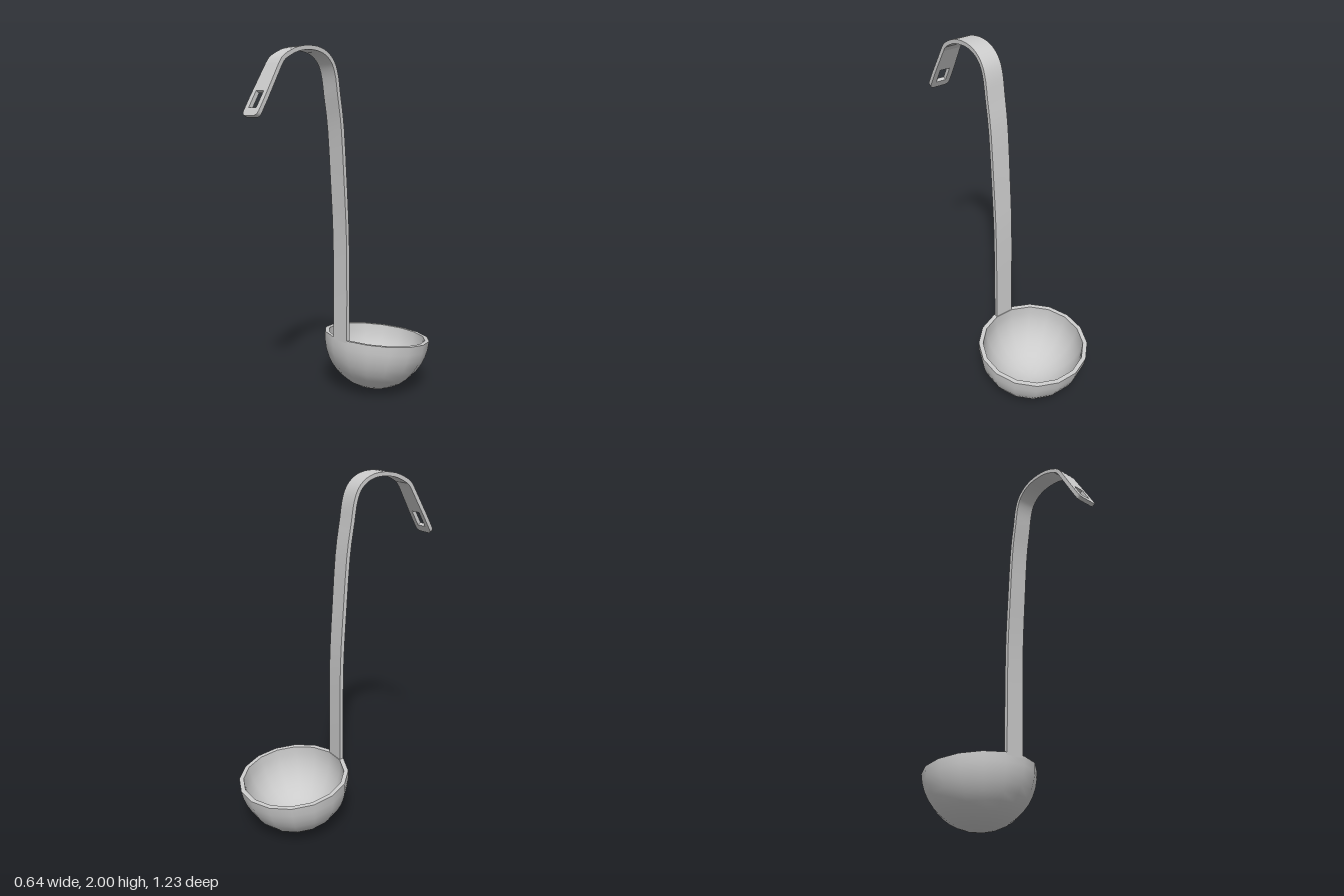
import * as THREE from 'three';
import { toCreasedNormals } from 'three/addons/utils/BufferGeometryUtils.js';

const material = new THREE.MeshStandardMaterial({ color: 0xcccccc });
const THICK = 0.022, HALF_WIDTH = 0.055, CREASE = 0.6;

function part(name, geometry) {
  const mesh = new THREE.Mesh(toCreasedNormals(geometry, CREASE), material);
  mesh.name = name;
  return mesh;
}

// Sixteen-sided hollow hemisphere with a flat rim, tipped slightly backwards
function createBowl() {
  const steps = 10, profile = [];
  const arc = (radius, depth, t) =>
    new THREE.Vector2(radius * Math.sin(t * Math.PI / 2), -depth * Math.cos(t * Math.PI / 2));
  for (let i = 0; i <= steps; i++) profile.push(arc(0.325, 0.328, i / steps));
  for (let i = steps; i >= 0; i--) profile.push(arc(0.299, 0.302, i / steps));
  const bowl = part('bowl', new THREE.LatheGeometry(profile, 16, Math.PI / 16));
  bowl.scale.z = 0.965;
  bowl.rotation.x = -0.122;
  bowl.position.set(0, 0.328, -0.307);
  return bowl;
}

// Bent strip: its side outline is the centreline (z, y) offset both ways
function createHandle() {
  const path = new THREE.CatmullRomCurve3([
    [-0.012, 0.35], [-0.012, 0.7], [-0.007, 1.0], [0.009, 1.27], [0.034, 1.6],
    [0.058, 1.75], [0.076, 1.86], [0.1, 1.92], [0.14, 1.96], [0.19, 1.982],
    [0.255, 1.989], [0.34, 1.977], [0.41, 1.945], [0.435, 1.927], [0.455, 1.9],
  ].map(([z, y]) => new THREE.Vector3(z, y, 0)));
  const outer = [], inner = [], count = 36;
  for (let i = 0; i <= count; i++) {
    const p = path.getPoint(i / count), t = path.getTangent(i / count);
    if (i === count) t.set(0.5, -0.866, 0);
    const nx = -t.y * THICK / 2, ny = t.x * THICK / 2;
    outer.push(new THREE.Vector2(p.x + nx, p.y + ny));
    inner.unshift(new THREE.Vector2(p.x - nx, p.y - ny));
  }
  const geometry = new THREE.ExtrudeGeometry(new THREE.Shape([...outer, ...inner]),
    { depth: 2 * HALF_WIDTH, bevelEnabled: false });
  geometry.translate(0, 0, -HALF_WIDTH);
  geometry.rotateY(-Math.PI / 2);
  return part('handle', geometry);
}

// Flat, slightly flared end plate with rounded corners and a hanging slot
function createTip() {
  const w = 0.0625, end = -0.3, r = 0.03;
  const shape = new THREE.Shape();
  shape.moveTo(HALF_WIDTH, 0);
  shape.lineTo(-HALF_WIDTH, 0);
  shape.lineTo(-w, -0.19);
  shape.lineTo(-w, end + r);
  shape.quadraticCurveTo(-w, end, -w + r, end);
  shape.lineTo(w - r, end);
  shape.quadraticCurveTo(w, end, w, end + r);
  shape.lineTo(w, -0.19);
  shape.closePath();
  const slot = [[-0.031, -0.16], [0.031, -0.16], [0.031, -0.256], [-0.031, -0.256]];
  shape.holes.push(new THREE.Path(slot.map(([x, y]) => new THREE.Vector2(x, y))));
  const geometry = new THREE.ExtrudeGeometry(shape,
    { depth: THICK, bevelEnabled: false, curveSegments: 4 });
  geometry.translate(0, 0, -THICK / 2);
  const tip = part('hangingTip', geometry);
  tip.rotation.x = -Math.PI / 6;
  tip.position.set(0, 1.9, 0.455);
  return tip;
}

export function createModel() {
  const ladle = new THREE.Group();
  ladle.name = 'ladle';
  ladle.add(createBowl(), createHandle(), createTip());
  return ladle;
}
